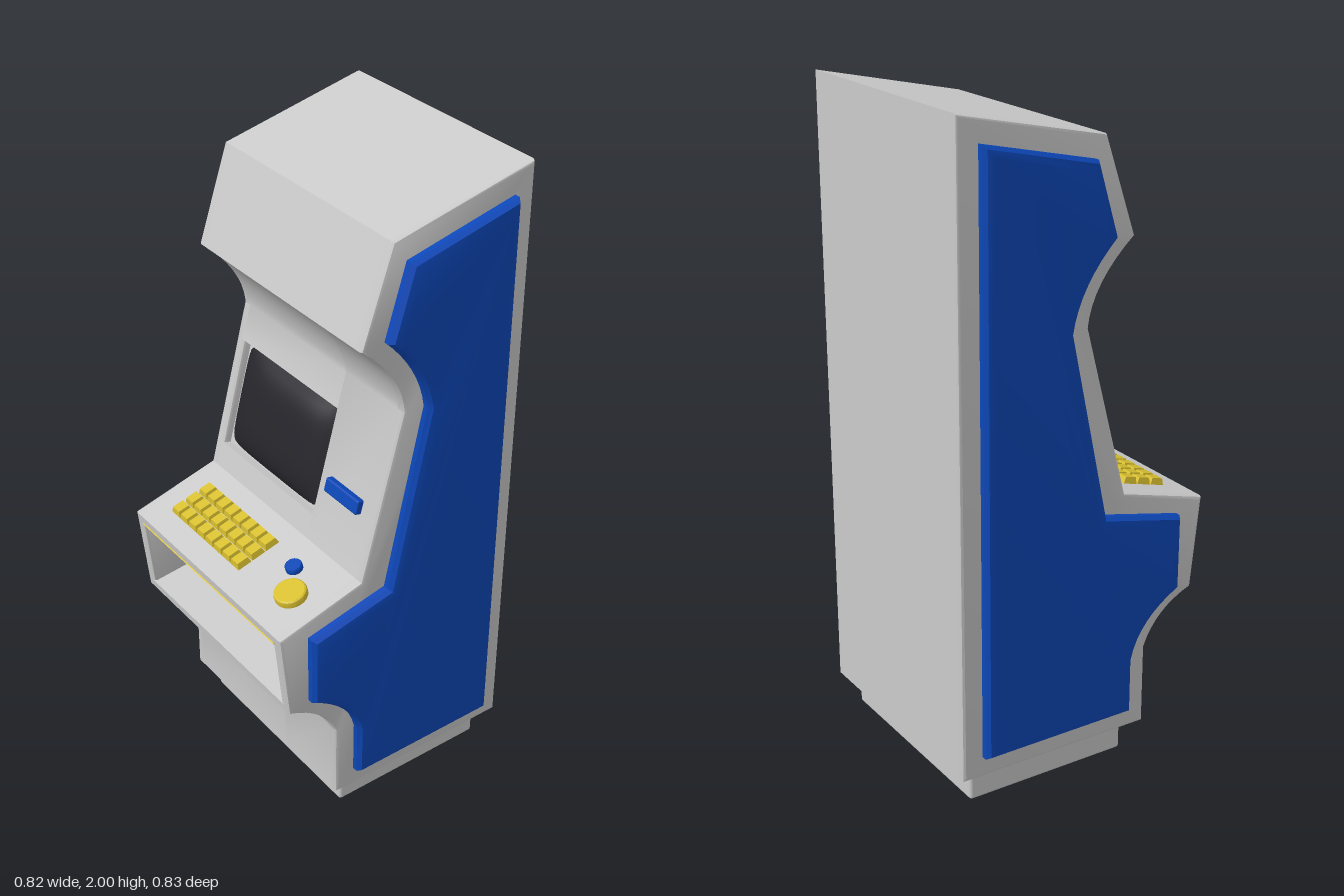
import * as THREE from 'three';
import { toCreasedNormals } from 'three/addons/utils/BufferGeometryUtils.js';
import { RoundedBoxGeometry } from 'three/addons/geometries/RoundedBoxGeometry.js';

const mat = (color) => new THREE.MeshStandardMaterial({ color });
const grey = mat(0xcccccc);
const blue = new THREE.MeshStandardMaterial();
blue.color.set(0x0d47b8);
const yellow = new THREE.MeshStandardMaterial();
yellow.color.set(0xd9c030);
const dark = new THREE.MeshStandardMaterial();
dark.color.set(0x25252b);

// Lower ends of the sloped faces and their tilts (cabinet faces -x)
const BEZEL = { x: -0.135, y: 0.865, tilt: Math.atan2(0.515, 0.135) };
const DECK = { x: -0.415, y: 0.79, tilt: Math.atan2(0.075, 0.28) };
const SCREEN = { u0: 0.08, u1: 0.42, z0: -0.345, z1: 0.12, depth: 0.025 };

function add(parent, name, geometry, material, x = 0, y = 0, z = 0) {
  const mesh = new THREE.Mesh(geometry, material);
  mesh.name = name;
  mesh.position.set(x, y, z);
  parent.add(mesh);
  return mesh;
}

// Group whose local x runs up a slope and local y points out of it
function slopeGroup(parent, name, s) {
  const g = new THREE.Group();
  g.name = name;
  g.position.set(s.x, s.y, 0);
  g.rotation.z = s.tilt;
  parent.add(g);
  return g;
}

// Point on the bezel: u along the slope, h outward
function bezelPoint(u, h) {
  const c = Math.cos(BEZEL.tilt), s = Math.sin(BEZEL.tilt);
  return [BEZEL.x + u * c - h * s, BEZEL.y + u * s + h * c];
}

// Cabinet outline, optionally notched for the screen and the coin tray
function cabinetShape(screenNotch, trayNotch) {
  const s = new THREE.Shape();
  s.moveTo(0.41, 2);
  s.lineTo(-0.05, 1.9);
  s.lineTo(-0.147, 1.615);
  s.quadraticCurveTo(-0.012, 1.5, 0, 1.38);
  if (screenNotch) {
    const { u0, u1, depth } = SCREEN;
    [[u1, 0], [u1, -depth], [u0, -depth], [u0, 0]].forEach(([u, h]) => s.lineTo(...bezelPoint(u, h)));
  }
  s.lineTo(BEZEL.x, BEZEL.y);
  s.lineTo(DECK.x, DECK.y);
  if (trayNotch) [[-0.412, 0.765], [-0.22, 0.55], [-0.388, 0.53]].forEach((p) => s.lineTo(...p));
  s.lineTo(-0.385, 0.505);
  s.quadraticCurveTo(-0.26, 0.46, -0.22, 0.35);
  s.lineTo(-0.22, 0.1);
  s.lineTo(0.41, 0.1);
  s.closePath();
  return s;
}

function sidePanelShape() {
  const s = new THREE.Shape();
  s.moveTo(0.345, 1.92);
  s.lineTo(-0.01, 1.84);
  s.lineTo(-0.075, 1.625);
  s.quadraticCurveTo(0.045, 1.51, 0.065, 1.38);
  s.lineTo(-0.055, 0.82);
  s.lineTo(-0.32, 0.76);
  s.lineTo(-0.32, 0.53);
  s.quadraticCurveTo(-0.18, 0.46, -0.155, 0.34);
  s.lineTo(-0.155, 0.165);
  s.lineTo(0.345, 0.165);
  s.closePath();
  return s;
}

// Extrude between two z values with an optional bevel kept inside the outline
function slab(shape, z0, z1, bevelSize = 0, bevelThickness = bevelSize) {
  const g = new THREE.ExtrudeGeometry(shape, {
    depth: z1 - z0 - 2 * bevelThickness, curveSegments: 8,
    bevelEnabled: bevelSize > 0, bevelSize, bevelThickness, bevelOffset: -bevelSize, bevelSegments: 2,
  });
  g.translate(0, 0, z0 + bevelThickness);
  return toCreasedNormals(g, 0.5);
}

export function createModel() {
  const model = new THREE.Group();
  model.name = 'arcadeCabinet';

  // Cabinet body in slices, so that the recesses stay between the side walls
  const body = new THREE.Group();
  body.name = 'cabinetBody';
  model.add(body);
  add(body, 'bodyScreenSection', slab(cabinetShape(true, true), -0.352, SCREEN.z1), grey);
  add(body, 'bodySlotSection', slab(cabinetShape(false, true), SCREEN.z1, 0.352), grey);
  for (const side of [-1, 1]) {
    const z = side * 0.36;
    add(body, 'sideWall', slab(cabinetShape(false, false), z - 0.02, z + 0.02, 0.01), grey);
    // Raised panel on each side, its inner half sunk in the wall
    const p = side * 0.38;
    add(model, 'sidePanel', slab(sidePanelShape(), p - 0.037, p + 0.037, 0.032, 0.02), blue);
  }

  // Plinth
  add(model, 'plinth', new RoundedBoxGeometry(0.53, 0.12, 0.67, 2, 0.01), grey, 0.095, 0.06, 0);

  // Sloping back of the coin tray
  const trayBack = add(model, 'trayBack', new THREE.BoxGeometry(0.285, 0.008, 0.69), yellow, -0.316, 0.6575, 0);
  trayBack.rotation.z = Math.atan2(-0.215, 0.192);

  // Bulging screen and the slot beside it
  const bezel = slopeGroup(model, 'bezel', BEZEL);
  const w = SCREEN.u1 - SCREEN.u0, d = SCREEN.z1 - SCREEN.z0;
  const glass = new THREE.PlaneGeometry(w, d, 20, 20).rotateX(-Math.PI / 2);
  const pos = glass.attributes.position;
  for (let i = 0; i < pos.count; i++) {
    const a = pos.getX(i) / (w / 2), b = pos.getZ(i) / (d / 2);
    pos.setY(i, -0.03 + 0.045 * (1 - a ** 4) * (1 - b ** 4));
  }
  glass.computeVertexNormals();
  add(bezel, 'screen', glass, dark, (SCREEN.u0 + SCREEN.u1) / 2, 0, (SCREEN.z0 + SCREEN.z1) / 2);
  add(bezel, 'cardSlot', new RoundedBoxGeometry(0.045, 0.03, 0.15, 2, 0.006), blue, 0.205, 0.005, 0.235);

  // Control deck: bevelled keys and two round buttons
  const deck = slopeGroup(model, 'controlDeck', DECK);
  const alongDeck = (x) => (x - DECK.x) / Math.cos(DECK.tilt);
  const key = new THREE.CylinderGeometry(0.76 * Math.SQRT1_2, Math.SQRT1_2, 1, 4, 1)
    .rotateY(Math.PI / 4).toNonIndexed();
  key.computeVertexNormals();
  for (let col = 0; col < 3; col++) {
    for (let row = 0; row < 8; row++) {
      const k = add(deck, 'key', key, yellow, alongDeck(-0.318 + col * 0.0485), 0.009, -0.267 + row * 0.0449);
      k.scale.set(0.048, 0.02, 0.043);
    }
  }
  const button = (name, r, h, material, x, z) => {
    const profile = [[0, h], [r * 0.88, h], [r * 0.97, h * 0.85], [r, h * 0.65], [r, -0.005]];
    const g = new THREE.LatheGeometry(profile.map(([a, b]) => new THREE.Vector2(a, b)).reverse(), 32);
    add(deck, name, toCreasedNormals(g, 0.6), material, alongDeck(x), 0, z);
  };
  button('largeButton', 0.049, 0.022, yellow, -0.293, 0.263);
  button('smallButton', 0.026, 0.018, blue, -0.228, 0.187);

  return model;
}
